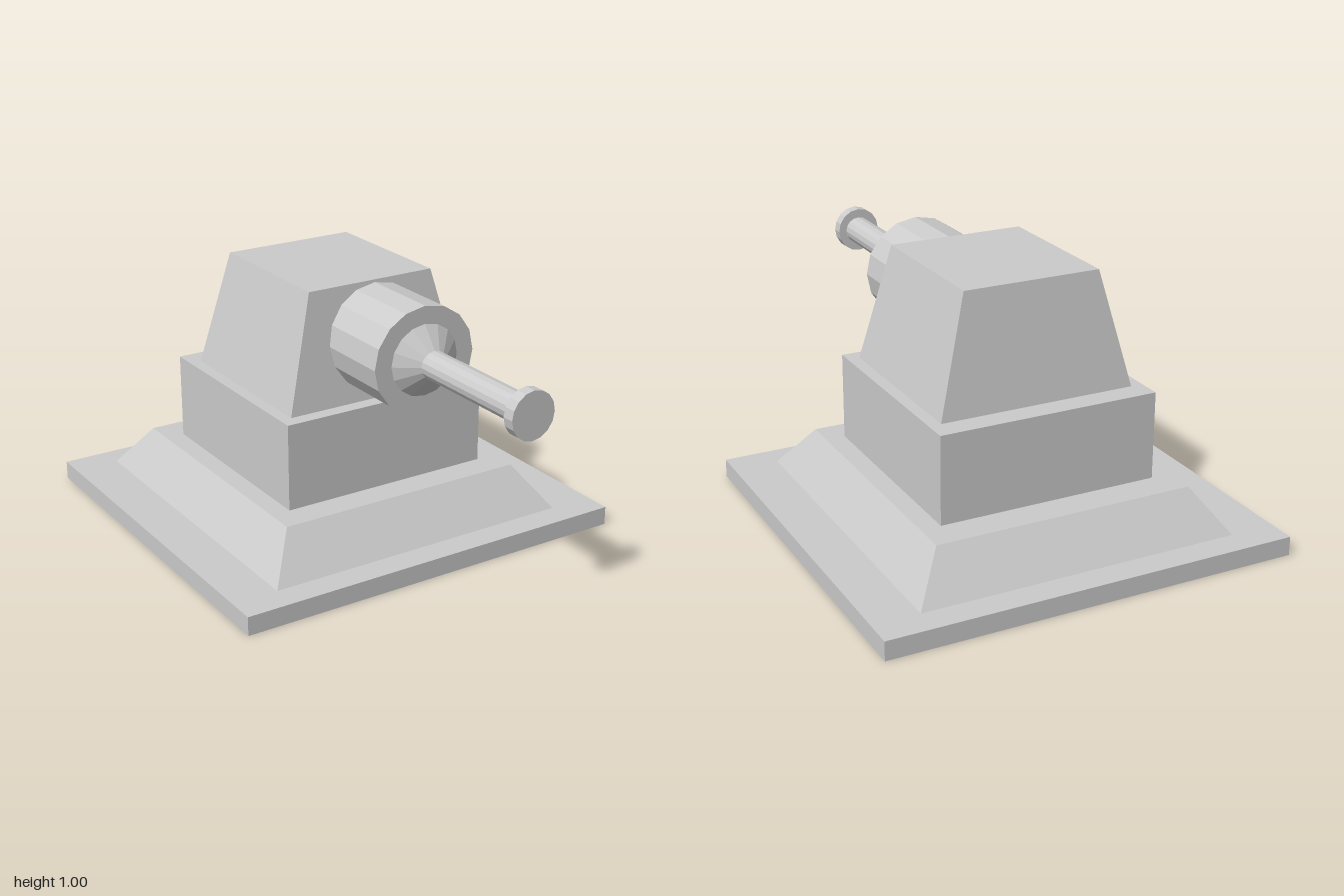
import * as THREE from 'three';

const material = new THREE.MeshStandardMaterial({ color: 0xcccccc, flatShading: true });

// Rectangular tier from y0 to y1; each end is [halfWidth, zBack, zFront]
function tier(name, y0, y1, bottom, top = bottom) {
  const geometry = new THREE.BoxGeometry(1, 1, 1);
  const p = geometry.attributes.position;
  for (let i = 0; i < p.count; i++) {
    const upper = p.getY(i) > 0;
    const [half, back, front] = upper ? top : bottom;
    p.setXYZ(i, Math.sign(p.getX(i)) * half, upper ? y1 : y0, p.getZ(i) > 0 ? front : back);
  }
  geometry.computeVertexNormals();
  const mesh = new THREE.Mesh(geometry, material);
  mesh.name = name;
  return mesh;
}

// Round section along z, from z0 (radius r0) to z1 (radius r1)
function round(name, z0, z1, r0, r1 = r0) {
  const geometry = new THREE.CylinderGeometry(r1, r0, z1 - z0, 16);
  geometry.rotateX(Math.PI / 2);
  const mesh = new THREE.Mesh(geometry, material);
  mesh.position.z = (z0 + z1) / 2;
  mesh.name = name;
  return mesh;
}

export function createModel() {
  const model = new THREE.Group();
  model.name = 'turret';

  // Stepped square pedestal and tapered head
  model.add(
    tier('basePlate', 0, 0.072, [0.785, -1, 0.52]),
    tier('slopedPlinth', 0.072, 0.235, [0.61, -0.895, 0.415], [0.495, -0.775, 0.29]),
    tier('pedestal', 0.235, 0.565, [0.42, -0.655, 0.18]),
    tier('head', 0.565, 1, [0.374, -0.567, 0.125], [0.261, -0.51, 0.07])
  );

  // Gun: thick housing, collar, thin barrel and muzzle disc
  const gun = new THREE.Group();
  gun.name = 'gun';
  gun.position.set(0.015, 0.79, 0);
  gun.add(
    round('housing', 0, 0.39, 0.2),
    round('collar', 0.39, 0.45, 0.134, 0.053),
    round('barrel', 0.44, 0.96, 0.053),
    round('muzzle', 0.955, 1, 0.088)
  );
  gun.scale.x = 1.04;
  gun.children[3].scale.x = 0.95;
  model.add(gun);

  return model;
}
